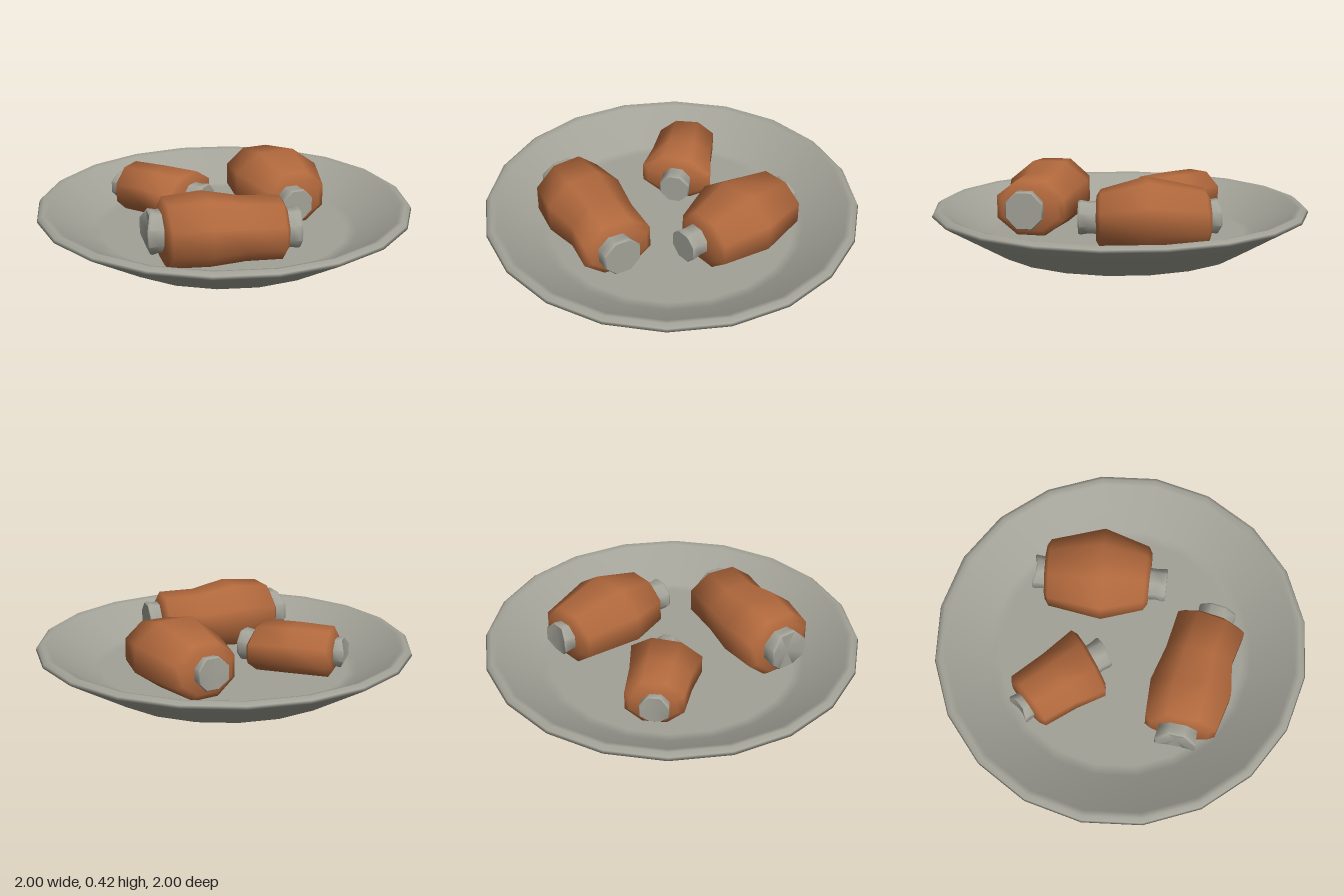
import * as THREE from 'three';
import { toCreasedNormals } from 'three/addons/utils/BufferGeometryUtils.js';

const SIDES = 8;

// Closed eight-sided body along x.
// Section: [x, zCentre, zRadius, yRadius, yCentre, skew, flare]; flare pushes the sides along x
function loft(sections, crease) {
  const pos = [], index = [];
  for (const [x, zc, rz, ry, yc, skew, flare = 0] of sections) {
    for (let k = 0; k < SIDES; k++) {
      const a = ((k + 0.5) / SIDES) * Math.PI * 2, s = 1 / Math.cos(Math.PI / SIDES);
      const z = rz * s * Math.sin(a);
      pos.push(x + skew * z + flare * Math.sin(a) ** 2, yc + ry * s * Math.cos(a), zc + z);
    }
  }
  const last = sections.length - 1;
  for (let i = 0; i < last; i++) {
    for (let k = 0; k < SIDES; k++) {
      const n = (k + 1) % SIDES, p = i * SIDES, q = p + SIDES;
      index.push(p + k, p + n, q + n, p + k, q + n, q + k);
    }
  }
  // End caps
  const first = sections[0], end = sections[last], c = pos.length / 3;
  pos.push(first[0], first[4], first[1], end[0], end[4], end[1]);
  for (let k = 0; k < SIDES; k++) {
    const n = (k + 1) % SIDES;
    index.push(c, n, k, c + 1, last * SIDES + k, last * SIDES + n);
  }
  const geo = new THREE.BufferGeometry();
  geo.setAttribute('position', new THREE.Float32BufferAttribute(pos, 3));
  geo.setIndex(index);
  return toCreasedNormals(geo, crease);
}

// Meat with a soft rounded edge at both ends
function meatGeometry(sections) {
  const bevel = ([x, zc, rz, ry, yc, skew], dir) =>
    [x + dir * 0.022, zc, rz - 0.032, ry - 0.032, yc, skew];
  return loft([bevel(sections[0], -1), ...sections, bevel(sections.at(-1), 1)], 1.3);
}

// Short bone stub, slightly waisted. Spec: [xInner, xOuter, z, radius, y, skew, flare]
function boneGeometry([x0, x1, z, r, y, skew, flare]) {
  const ring = (t, f, bend) => [x0 + (x1 - x0) * t, z, r * f, r * f, y, skew, bend];
  const rings = [ring(0, 0.96, 0), ring(0.55, 0.93, 0), ring(0.9, 1, flare), ring(1, 0.94, flare)];
  return loft(x1 > x0 ? rings : rings.reverse(), 0.95);
}

export function createModel() {
  const ceramic = new THREE.MeshStandardMaterial({ color: 0xa2a298 });
  ceramic.name = 'pale grey';
  const meat = new THREE.MeshStandardMaterial({ color: 0xb2693d });
  meat.name = 'roast brown';

  const model = new THREE.Group();
  model.name = 'plateOfMeat';
  const add = (parent, geo, mat, name) => {
    const mesh = new THREE.Mesh(geo, mat);
    mesh.name = name;
    parent.add(mesh);
  };
  const lathe = (profile) =>
    new THREE.LatheGeometry(profile.map(([r, y]) => new THREE.Vector2(r, y)), 20);

  // Plate: flat foot, then outer wall, rim, inner slope and floor as one smooth shell
  add(model, lathe([[0, 0], [0.665, 0]]), ceramic, 'plateFoot');
  add(model, lathe([[0.665, 0], [1, 0.195], [0.993, 0.21], [0.97, 0.225],
    [0.94, 0.217], [0.715, 0.075], [0.66, 0.073], [0, 0.073]]), ceramic, 'plateShell');

  // Joints of meat, each laid along its own axis on the plate
  const joints = [
    {
      name: 'frontJoint', at: [-0.11, 0.42], dir: [1, 0],
      body: [[-0.3, -0.02, 0.187, 0.168, 0.227, 0], [-0.1, -0.005, 0.213, 0.176, 0.235, 0],
        [0.09, 0.005, 0.178, 0.15, 0.225, -0.05], [0.285, 0.035, 0.183, 0.145, 0.225, -0.14]],
      bones: [[-0.29, -0.38, -0.03, 0.108, 0.24, 0, -0.03],
        [0.27, 0.375, 0.057, 0.1, 0.226, -0.1, 0]],
    },
    {
      name: 'rightJoint', at: [0.33, -0.19], dir: [0.09, 1],
      body: [[-0.27, 0, 0.172, 0.14, 0.224, 0.06], [0.02, -0.015, 0.237, 0.172, 0.248, 0.05],
        [0.255, -0.025, 0.165, 0.138, 0.223, 0]],
      bones: [[-0.25, -0.335, 0.005, 0.085, 0.23, 0, -0.025],
        [0.26, 0.37, 0.003, 0.083, 0.222, 0, 0]],
    },
    {
      name: 'backJoint', at: [-0.29, -0.27], dir: [1, 0.97],
      body: [[-0.195, 0, 0.15, 0.12, 0.215, 0.05], [0, 0, 0.162, 0.122, 0.216, 0],
        [0.18, 0, 0.19, 0.118, 0.214, -0.1]],
      bones: [[-0.18, -0.25, 0.01, 0.075, 0.215, 0.05, -0.025],
        [0.18, 0.29, -0.005, 0.08, 0.21, -0.08, 0]],
    },
  ];
  for (const { name, at, dir, body, bones } of joints) {
    const joint = new THREE.Group();
    joint.name = name;
    joint.position.set(at[0], 0, at[1]);
    joint.rotation.y = -Math.atan2(dir[1], dir[0]);
    add(joint, meatGeometry(body), meat, 'meat');
    bones.forEach((b, i) => add(joint, boneGeometry(b), ceramic, i ? 'boneEnd' : 'boneStart'));
    model.add(joint);
  }
  return model;
}
